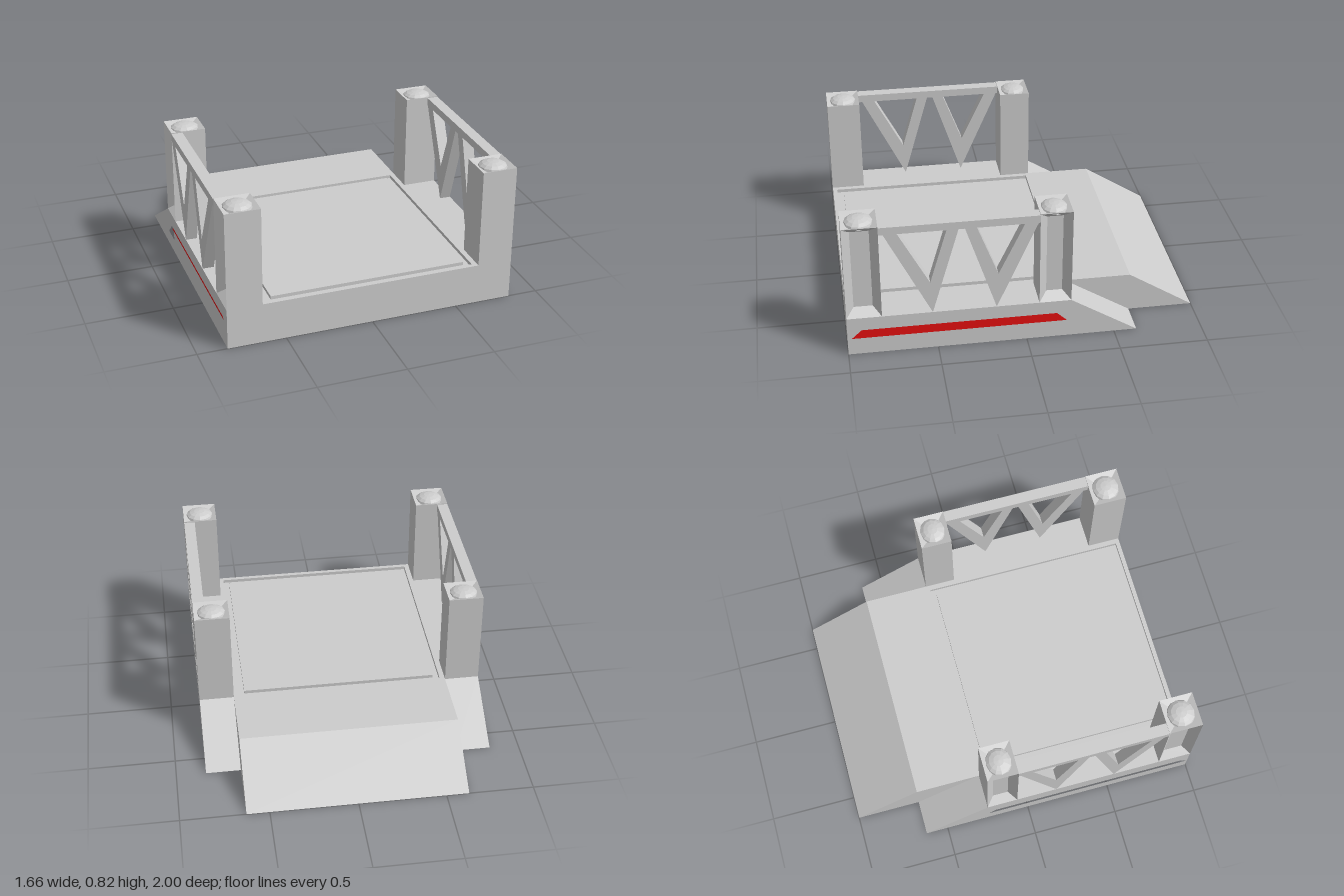
import * as THREE from 'three';

const grey = new THREE.MeshStandardMaterial({ color: 0xcccccc });
grey.name = 'concrete grey';
const red = new THREE.MeshStandardMaterial({ color: 0xe51010 });
red.name = 'signal red';

const DECK = 0.235, TOP = 0.805, IN = 0.63, OUT = 0.83;

// Profile given as [z, y] points, extruded along x from x0 to x1
function prism(points, x0, x1, hole) {
  const toVec = ([z, y]) => new THREE.Vector2(-z, y);
  const shape = new THREE.Shape(points.map(toVec));
  if (hole) shape.holes.push(new THREE.Path(hole.map(toVec)));
  return new THREE.ExtrudeGeometry(shape, { depth: x1 - x0, bevelEnabled: false })
    .rotateY(Math.PI / 2).translate(x0, 0, 0);
}

const rect = (z0, z1, y0, y1) => [[z0, y0], [z1, y0], [z1, y1], [z0, y1]];

function box(x0, x1, y0, y1, z0, z1) {
  return new THREE.BoxGeometry(x1 - x0, y1 - y0, z1 - z0)
    .translate((x0 + x1) / 2, (y0 + y1) / 2, (z0 + z1) / 2);
}

// Flat polygons with counter-clockwise corners
function faces(polys) {
  const pos = [];
  for (const p of polys)
    for (let i = 1; i < p.length - 1; i++) pos.push(...p[0], ...p[i], ...p[i + 1]);
  const g = new THREE.BufferGeometry();
  g.setAttribute('position', new THREE.Float32BufferAttribute(pos, 3));
  g.computeVertexNormals();
  return g;
}

// Rectangle sunk inwards with four bevelled borders
function sunkPanel(corners, inset, depth) {
  const [a, b, , d] = corners.map((c) => new THREE.Vector3(...c));
  const u = b.clone().sub(a).normalize(), v = d.clone().sub(a).normalize();
  const n = u.clone().cross(v);
  const signs = [[1, 1], [-1, 1], [-1, -1], [1, -1]];
  const inner = corners.map((c, i) => new THREE.Vector3(...c)
    .addScaledVector(u, signs[i][0] * inset)
    .addScaledVector(v, signs[i][1] * inset)
    .addScaledVector(n, -depth).toArray());
  const polys = [inner];
  for (let i = 0; i < 4; i++) {
    const j = (i + 1) % 4;
    polys.push([corners[i], corners[j], inner[j], inner[i]]);
  }
  return polys;
}

// Copy reflected in x, with the winding restored
function mirrored(geo) {
  const g = geo.index ? geo.toNonIndexed() : geo.clone();
  const p = g.attributes.position;
  for (let i = 0; i < p.count; i += 3) {
    const t = [0, 2, 1].map((k) => [-p.getX(i + k), p.getY(i + k), p.getZ(i + k)]);
    t.forEach((c, k) => p.setXYZ(i + k, ...c));
  }
  g.computeVertexNormals();
  return g;
}

// Corner post with a sunk outer face and a sunk cap
function post(z0, z1) {
  const a = IN, b = OUT, y0 = DECK, y1 = TOP;
  return faces([
    [[a, y0, z1], [b, y0, z1], [b, y1, z1], [a, y1, z1]],
    [[b, y0, z0], [a, y0, z0], [a, y1, z0], [b, y1, z0]],
    [[a, y0, z0], [a, y0, z1], [a, y1, z1], [a, y1, z0]],
    ...sunkPanel([[b, y0, z1], [b, y0, z0], [b, y1, z0], [b, y1, z1]], 0.045, 0.05),
    ...sunkPanel([[a, y1, z1], [b, y1, z1], [b, y1, z0], [a, y1, z0]], 0.045, 0.02),
  ]);
}

function dome(z0, z1) {
  const s = (z1 - z0) / 0.2;
  const g = new THREE.SphereGeometry(1, 12, 4, 0, Math.PI * 2, 0, Math.PI / 2).toNonIndexed();
  g.scale(0.085, 0.04 * s, 0.085 * s).translate((IN + OUT) / 2, 0.785, (z0 + z1) / 2);
  g.computeVertexNormals();
  return g;
}

export function createModel() {
  const model = new THREE.Group();
  model.name = 'bridgeSection';
  const add = (name, geo, mat = grey) => {
    const m = new THREE.Mesh(geo, mat);
    m.name = name;
    model.add(m);
  };
  const addPair = (name, geo, mat = grey) => {
    add(name + 'Left', geo, mat);
    add(name + 'Right', mirrored(geo), mat);
  };

  // Deck: core, rim and centre panel with a shallow groove between them
  add('deckCore', box(-IN, IN, 0, 0.215, -0.25, 1));
  for (const s of [0, 1]) {
    add('deckRimEnd', s ? box(-IN, IN, 0.215, DECK, 0.975, 1) : box(-IN, IN, 0.215, DECK, -0.25, -0.23));
  }
  addPair('deckRimSide', box(0.6, IN, 0.215, DECK, -0.23, 0.975));
  add('deckPanel', box(-0.565, 0.565, 0.215, DECK, -0.2, 0.935));

  // Centre ramp at the back
  add('backRamp', prism([[-0.25, 0], [-0.25, DECK], [-0.63, DECK], [-1, 0]], -IN, IN));

  // Side sills with a red strip set into the outer face
  addPair('sillCore', box(IN, 0.8, 0, DECK, -0.25, 1));
  addPair('sillFace', prism(rect(-0.25, 1, 0, DECK), 0.8, OUT,
    [[0.996, 0.085], [0.92, 0.155], [-0.17, 0.155], [-0.246, 0.085]]));
  addPair('redStrip', prism([[0.998, 0.085], [0.92, 0.156], [-0.18, 0.156], [-0.262, 0.085]], 0.65, 0.806), red);

  // Side ramps, open underneath
  addPair('sideRamp', faces([
    [[OUT, DECK, -0.25], [OUT, 0, -0.63], [IN, 0, -0.63], [IN, DECK, -0.25]],
    [[OUT, 0, -0.25], [OUT, 0, -0.63], [OUT, DECK, -0.25]],
  ]));

  // Corner posts and their domes
  for (const [name, z0, z1] of [['front', 0.805, 1], ['back', -0.25, -0.07]]) {
    addPair(name + 'Post', post(z0, z1));
    addPair(name + 'PostDome', dome(z0, z1));
  }

  // Parapet: top rail and two V-shaped braces on each side
  addPair('topRail', box(0.765, OUT, 0.755, 0.8, -0.07, 0.805));
  const braces = [
    [[0.78, 0.755], [0.525, DECK], [0.375, 0.755], [0.44, 0.755], [0.535, 0.43], [0.705, 0.755]],
    [[0.34, 0.755], [0.17, DECK], [-0.06, 0.755], [0.015, 0.755], [0.16, 0.45], [0.275, 0.755]],
  ];
  for (const b of braces) addPair('brace', prism(b, 0.765, OUT));

  return model;
}
